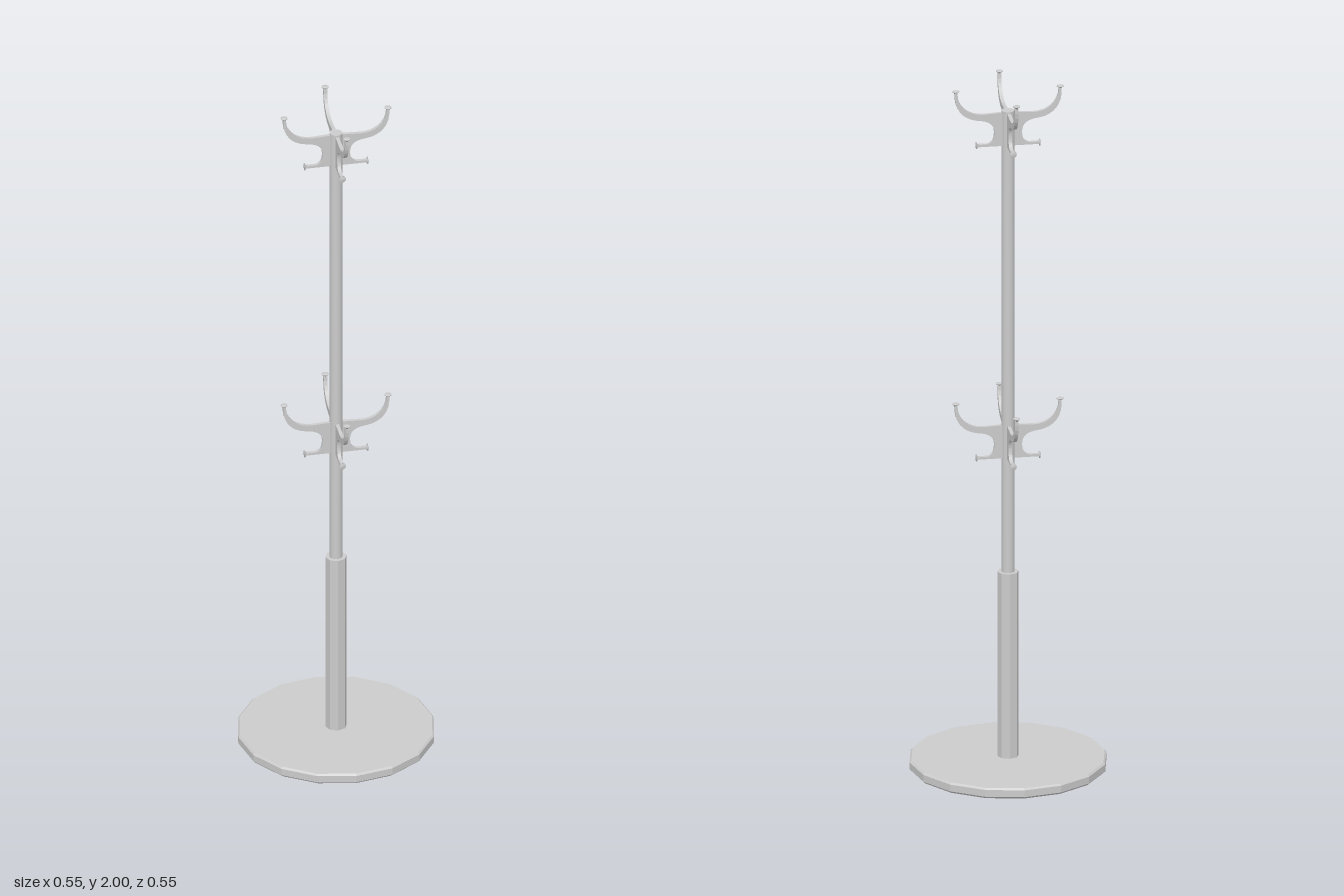
import * as THREE from 'three';

const grey = new THREE.MeshStandardMaterial({ color: 0xcccccc });
const flat = new THREE.MeshStandardMaterial({ color: 0xcccccc, flatShading: true });

function add(parent, name, geometry, material, x = 0, y = 0, z = 0) {
  const mesh = new THREE.Mesh(geometry, material);
  mesh.name = name;
  mesh.position.set(x, y, z);
  parent.add(mesh);
  return mesh;
}

const lathe = (points, sides) =>
  new THREE.LatheGeometry(points.map(([r, y]) => new THREE.Vector2(r, y)), sides);

// Flat bracket outline: upswept coat arm above, waisted web, short peg below.
// Heights are measured from the tip of the arm.
function bracketGeometry(thickness) {
  const s = new THREE.Shape();
  s.moveTo(0.01, -0.07);
  s.lineTo(0.07, -0.073);
  s.bezierCurveTo(0.11, -0.073, 0.142, -0.05, 0.143, -0.006);
  s.lineTo(0.15, -0.006);
  s.bezierCurveTo(0.153, -0.052, 0.13, -0.084, 0.085, -0.09);
  s.bezierCurveTo(0.055, -0.093, 0.04, -0.103, 0.039, -0.126);
  s.bezierCurveTo(0.039, -0.148, 0.044, -0.158, 0.06, -0.161);
  s.lineTo(0.086, -0.161);
  s.lineTo(0.086, -0.168);
  s.lineTo(0.01, -0.168);
  s.closePath();
  const g = new THREE.ExtrudeGeometry(s, { depth: thickness, bevelEnabled: false, curveSegments: 8 });
  return g.translate(0, 0, -thickness / 2);
}

export function createModel() {
  const model = new THREE.Group();
  model.name = 'coatStand';

  // Sixteen-sided foot with slightly eased edges
  add(model, 'base', lathe([[0, 0], [0.271, 0], [0.277, 0.006], [0.277, 0.026], [0.272, 0.031], [0, 0.031]], 16), flat);

  // Thick lower sleeve and slender upper pole
  add(model, 'lowerPost', new THREE.CylinderGeometry(0.03, 0.03, 0.545, 8), flat, 0, 0.3025);
  add(model, 'upperPost', new THREE.CylinderGeometry(0.018, 0.018, 1.365, 16), grey, 0, 1.2525);

  // Two tiers of four hooks
  const bracket = bracketGeometry(0.01);
  const button = lathe([[0, -0.009], [0.004, -0.009], [0.005, -0.005], [0.01, -0.003], [0.01, -0.001], [0, 0]], 12);
  for (const [tierName, top] of [['upperHooks', 2], ['lowerHooks', 1.078]]) {
    const tier = new THREE.Group();
    tier.name = tierName;
    tier.position.y = top;
    for (let i = 0; i < 4; i++) {
      const hook = new THREE.Group();
      hook.name = 'hook';
      hook.rotation.y = i * Math.PI / 2;
      add(hook, 'bracket', bracket, grey);
      add(hook, 'armButton', button, grey, 0.147, 0, 0);
      add(hook, 'pegButton', button, grey, 0.091, -0.1645, 0).rotation.z = -Math.PI / 2;
      tier.add(hook);
    }
    model.add(tier);
  }
  return model;
}
